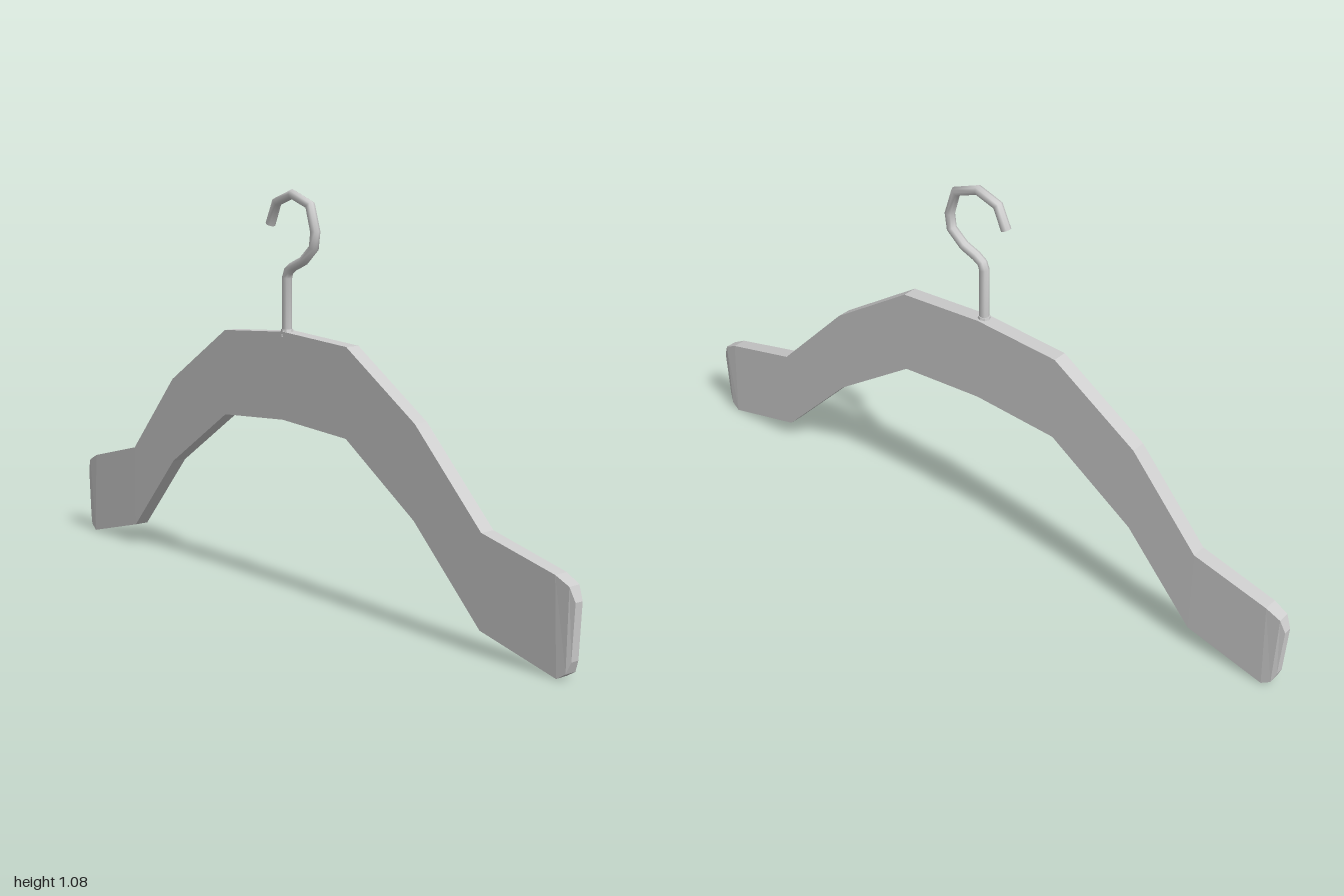
import * as THREE from 'three';

// Polyline curve whose samples land exactly on its corner points
class BentWire extends THREE.Curve {
  constructor(points) {
    super();
    this.points = points;
  }
  index(u) {
    return Math.round(u * (this.points.length - 1));
  }
  getPoint(u, target = new THREE.Vector3()) {
    return target.copy(this.points[this.index(u)]);
  }
  getPointAt(u, target) {
    return this.getPoint(u, target);
  }
  getTangentAt(u, target = new THREE.Vector3()) {
    const i = this.index(u), p = this.points;
    const dir = (a, b) => p[b].clone().sub(p[a]).normalize();
    target.set(0, 0, 0);
    if (i > 0) target.add(dir(i - 1, i));
    if (i < p.length - 1) target.add(dir(i, i + 1));
    return target.normalize();
  }
}

// Rectangular cross-sections [topX, topY, bottomX, bottomY, halfDepth] joined along x
function loft(stations) {
  const pos = [], idx = [];
  for (const [tx, ty, bx, by, d] of stations) {
    pos.push(tx, ty, d, bx, by, d, bx, by, -d, tx, ty, -d);
  }
  const last = (stations.length - 1) * 4;
  for (let s = 0; s < last; s += 4) {
    for (let k = 0; k < 4; k++) {
      const a = s + k, b = s + (k + 1) % 4;
      idx.push(a, b, b + 4, a, b + 4, a + 4);
    }
  }
  idx.push(0, 3, 2, 0, 2, 1, last, last + 1, last + 2, last, last + 2, last + 3);
  const geo = new THREE.BufferGeometry();
  geo.setAttribute('position', new THREE.Float32BufferAttribute(pos, 3));
  geo.setIndex(idx);
  const flat = geo.toNonIndexed();
  flat.computeVertexNormals();
  return flat;
}

export function createModel() {
  const group = new THREE.Group();
  const flatGrey = new THREE.MeshStandardMaterial({ color: 0xcccccc, flatShading: true });
  const grey = new THREE.MeshStandardMaterial({ color: 0xcccccc });
  const add = (name, geo, mat) => {
    const mesh = new THREE.Mesh(geo, mat);
    mesh.name = name;
    group.add(mesh);
    return mesh;
  };

  // Shoulder bar: arched arms, with tips that thin and round off
  const tip = [
    [1.0, 0.19, 0.992, 0.05, 0.012],
    [0.985, 0.225, 0.98, 0.02, 0.017],
    [0.945, 0.245, 0.955, 0.004, 0.02],
  ];
  const mirrored = ([tx, ty, bx, by, d]) => [-tx, ty, -bx, by, d];
  const arch = [
    [-0.73, 0.30, 0.062], [-0.53, 0.53, 0.288], [-0.277, 0.695, 0.458],
    [-0.024, 0.712, 0.475],
    [0.231, 0.695, 0.458], [0.485, 0.53, 0.288], [0.714, 0.30, 0.062],
  ].map(([x, top, bottom]) => [x, top, x, bottom, 0.021]);
  add('shoulderBar', loft([...tip.map(mirrored), ...arch, ...[...tip].reverse()]), flatGrey);

  // Hook: bent wire with closed ends
  const wireRadius = 0.0135, sides = 8, hookZ = 0.003;
  const path = [
    [-0.027, 0.69], [-0.027, 0.855], [-0.02, 0.873], [0, 0.886], [0.04, 0.902],
    [0.082, 0.938], [0.088, 0.98], [0.067, 1.048], [-0.006, 1.075],
    [-0.07, 1.053], [-0.097, 0.993],
  ].map(([x, y]) => new THREE.Vector3(x, y, hookZ));
  const wire = new BentWire(path);
  add('hook', new THREE.TubeGeometry(wire, path.length - 1, wireRadius, sides), grey);
  const cap = add('hookTip', new THREE.CircleGeometry(wireRadius, sides), grey);
  cap.position.copy(path[path.length - 1]);
  cap.quaternion.setFromUnitVectors(new THREE.Vector3(0, 0, 1), wire.getTangentAt(1));

  // Collar where the hook enters the bar
  const collar = add('hookCollar', new THREE.CylinderGeometry(0.016, 0.02, 0.02, 8), flatGrey);
  collar.position.set(-0.027, 0.708, hookZ);

  return group;
}
